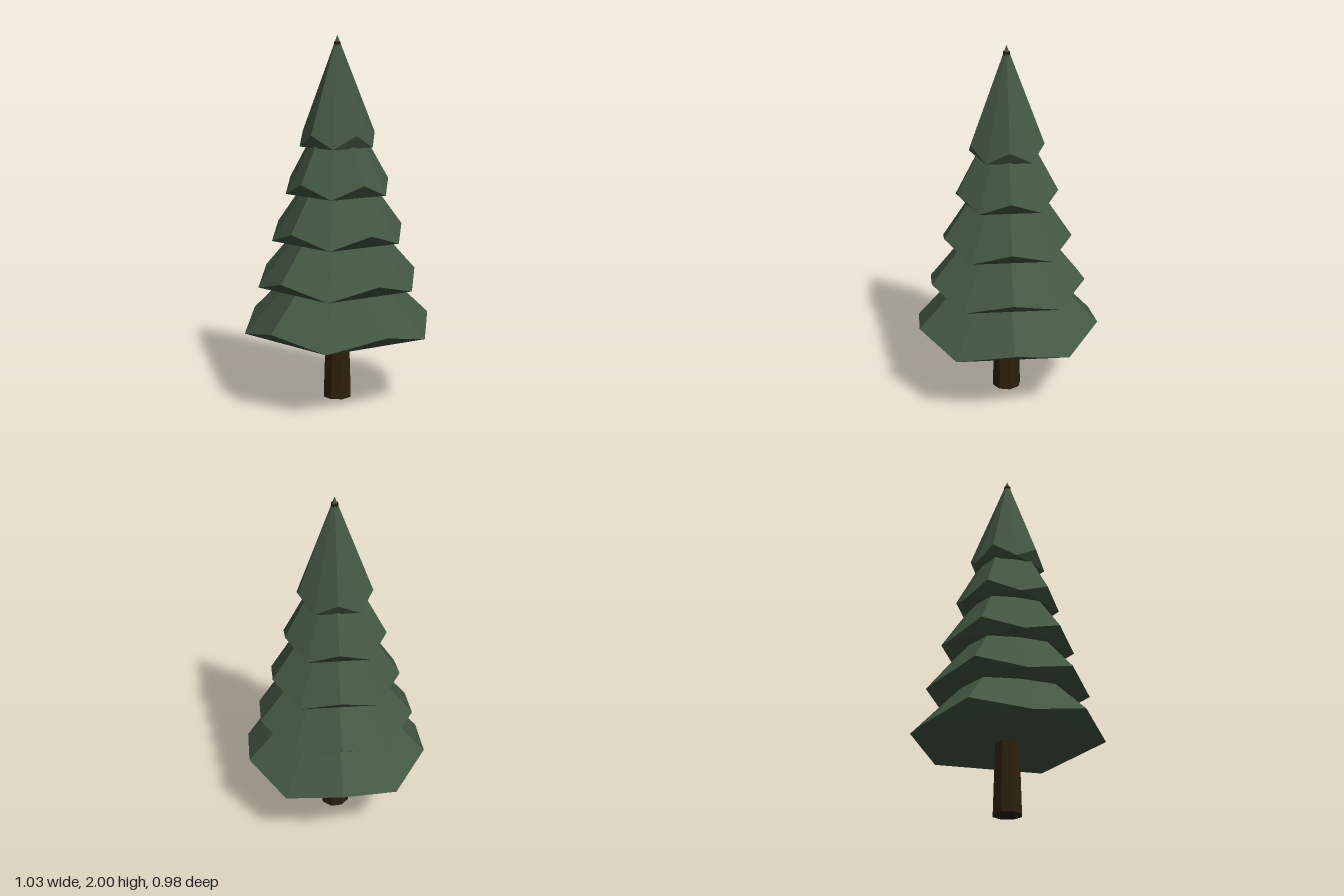
import * as THREE from 'three';

const SIDES = 10;

// Ten-sided tier: rim corners alternate low and lifted, with a flat
// underside between the low corners and a sloping flap under each lifted one
function tierGeometry(radius, height, lift) {
  const apex = [0, height, 0];
  const centre = [0, 0, 0];
  const corner = (i) => {
    const a = (i % SIDES) * 2 * Math.PI / SIDES;
    return [radius * Math.cos(a), i % 2 ? lift : 0, radius * Math.sin(a)];
  };
  const points = [];
  for (let i = 0; i < SIDES; i += 2) {
    const low = corner(i), high = corner(i + 1), next = corner(i + 2);
    points.push(apex, high, low, apex, next, high); // two sloping faces
    points.push(low, high, next);                   // flap
    points.push(centre, low, next);                 // flat underside
  }
  const g = new THREE.BufferGeometry();
  g.setAttribute('position', new THREE.Float32BufferAttribute(points.flat(), 3));
  g.computeVertexNormals();
  return g;
}

export function createModel() {
  const tree = new THREE.Group();
  tree.name = 'pineTree';

  const needles = new THREE.MeshStandardMaterial({ color: 0x435742 });
  needles.name = 'needleGreen';
  const bark = new THREE.MeshStandardMaterial({ color: 0x2c1f0d });
  bark.name = 'barkBrown';

  // Tapered trunk running up to the tip
  const trunkHeight = 1.965;
  const trunkGeometry = new THREE.CylinderGeometry(0.019, 0.081, trunkHeight, 8).toNonIndexed();
  trunkGeometry.computeVertexNormals();
  const trunk = new THREE.Mesh(trunkGeometry, bark);
  trunk.name = 'trunk';
  trunk.position.y = trunkHeight / 2;
  tree.add(trunk);

  // Five foliage tiers, wide to narrow
  const count = 5;
  for (let i = 0; i < count; i++) {
    const radius = 0.517 - i * 0.0775;
    const height = i === count - 1 ? 0.592 : 0.57;
    const tier = new THREE.Mesh(tierGeometry(radius, height, 0.071), needles);
    tier.name = `foliageTier${i + 1}`;
    tier.position.y = 0.386 + i * 0.2555;
    tree.add(tier);
  }

  return tree;
}
